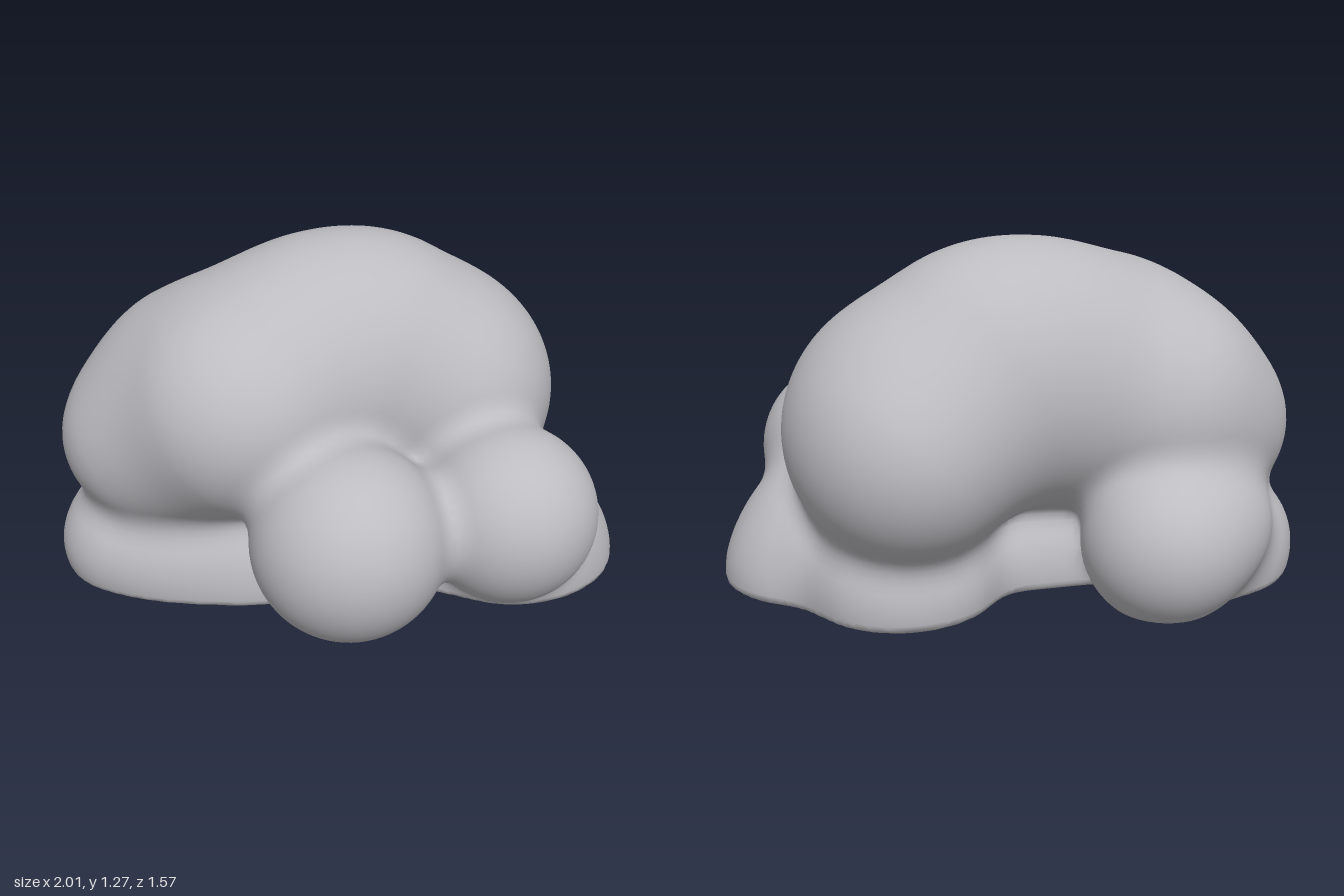
import * as THREE from 'three';

// Soft lumps for each part: centre x, y, z, then radii x, y, z
const PARTS = {
  upperBody: [
    [-0.35, 0.765, 0, 0.42, 0.4, 0.43],
    [-0.6, 0.59, -0.13, 0.37, 0.34, 0.34],
    [-0.46, 0.7, -0.22, 0.37, 0.38, 0.37],
    [-0.17, 0.79, -0.14, 0.4, 0.41, 0.395],
    [0.01, 0.82, -0.18, 0.42, 0.45, 0.4],
    [0.2, 0.8, -0.2, 0.4, 0.415, 0.4],
    [0.41, 0.63, -0.3, 0.375, 0.4, 0.415],
    [0.42, 0.67, -0.15, 0.355, 0.38, 0.38],
  ],
  base: [
    [-0.67, 0.15, -0.14, 0.335, 0.28, 0.29],
    [-0.63, 0.13, -0.28, 0.27, 0.27, 0.23],
    [-0.35, 0.12, -0.01, 0.4, 0.32, 0.25],
    [0.1, 0.1, -0.02, 0.6, 0.29, 0.27],
    [0.635, 0.08, 0.06, 0.37, 0.33, 0.32],
    [0.42, 0.12, -0.24, 0.32, 0.3, 0.295],
    [0.6, 0.25, 0.1, 0.27, 0.26, 0.27],
  ],
  frontLeftBall: [[0.525, 0.435, 0.35, 0.31, 0.31, 0.31]],
  frontRightBall: [[-0.04, 0.44, 0.45, 0.333, 0.333, 0.333]],
  backBall: [
    [-0.42, 0.29, -0.5, 0.28, 0.28, 0.285],
    [-0.57, 0.33, -0.42, 0.24, 0.22, 0.235],
  ],
};
const NAMES = Object.keys(PARTS);
const PART_BLEND = 0.14, JOIN_BLEND = 0.1;

// Approximate distance to an ellipsoid
function lump([cx, cy, cz, rx, ry, rz], x, y, z) {
  const a = (x - cx) / rx, b = (y - cy) / ry, c = (z - cz) / rz;
  const k = Math.hypot(a, b, c);
  return k < 1e-4 ? -Math.min(rx, ry, rz) : (k * (k - 1)) / Math.hypot(a / rx, b / ry, c / rz);
}

function smoothMin(a, b, k) {
  const h = Math.max(k - Math.abs(a - b), 0) / k;
  return Math.min(a, b) - h * h * k * 0.25;
}

function partField(name, x, y, z) {
  return PARTS[name].reduce((d, l) => smoothMin(d, lump(l, x, y, z), PART_BLEND), 10);
}

// All parts melted together, then cut by an underside that curves up to its rim
function field(x, y, z) {
  const d = NAMES.reduce((sum, name) => smoothMin(sum, partField(name, x, y, z), JOIN_BLEND), 10);
  const depth = THREE.MathUtils.clamp(-d / 0.22, 0, 1);
  const floor = 0.002 + 0.056 * (1 - depth) ** 2;
  return -smoothMin(-d, y - floor, 0.02);
}

function gradient(x, y, z) {
  const e = 0.002;
  return new THREE.Vector3(
    field(x + e, y, z) - field(x - e, y, z),
    field(x, y + e, z) - field(x, y - e, z),
    field(x, y, z + e) - field(x, y, z - e),
  ).divideScalar(2 * e);
}

function nearestPart(p) {
  const d = NAMES.map((name) => partField(name, p.x, p.y, p.z));
  return d.indexOf(Math.min(...d));
}

// Skin the field with one vertex per crossed cell and one quad per crossed edge
function skin() {
  const h = 0.026, min = [-1.09, -0.06, -0.88], size = [84, 56, 68];
  const stride = [1, size[0], size[0] * size[1]];
  const values = new Float32Array(stride[2] * size[2]);
  for (let k = 0, n = 0; k < size[2]; k++)
    for (let j = 0; j < size[1]; j++)
      for (let i = 0; i < size[0]; i++) values[n++] = field(min[0] + i * h, min[1] + j * h, min[2] + k * h);

  const corners = [...Array(8).keys()].map((c) => [c & 1, (c >> 1) & 1, c >> 2]);
  const vertices = new Map();
  const buckets = NAMES.map(() => ({ position: [], normal: [] }));

  function vertex(n) {
    if (vertices.has(n)) return vertices.get(n);
    const cell = [n % size[0], Math.floor(n / stride[1]) % size[1], Math.floor(n / stride[2])];
    const p = new THREE.Vector3();
    let count = 0;
    for (const c of corners)
      for (let a = 0; a < 3; a++) {
        if (c[a]) continue;
        const m = n + c[0] + c[1] * stride[1] + c[2] * stride[2];
        const v0 = values[m], v1 = values[m + stride[a]];
        if (v0 < 0 === v1 < 0) continue;
        const q = [0, 1, 2].map((b) => min[b] + (cell[b] + c[b]) * h);
        q[a] += (h * v0) / (v0 - v1);
        p.add(new THREE.Vector3(...q));
        count++;
      }
    p.divideScalar(count);
    // Settle the vertex on the surface
    for (let s = 0; s < 2; s++) {
      const g = gradient(p.x, p.y, p.z);
      const step = -field(p.x, p.y, p.z) / Math.max(g.lengthSq(), 0.2);
      p.addScaledVector(g, THREE.MathUtils.clamp(step, -h / 2, h / 2));
    }
    const v = { p, normal: gradient(p.x, p.y, p.z).normalize() };
    vertices.set(n, v);
    return v;
  }

  for (let k = 1; k < size[2] - 1; k++)
    for (let j = 1; j < size[1] - 1; j++)
      for (let i = 1; i < size[0] - 1; i++) {
        const n = i + j * stride[1] + k * stride[2];
        for (let a = 0; a < 3; a++) {
          const inside = values[n] < 0;
          if (inside === values[n + stride[a]] < 0) continue;
          const b = stride[(a + 1) % 3], c = stride[(a + 2) % 3];
          const quad = [n, n - b, n - b - c, n - c].map(vertex);
          if (!inside) quad.reverse();
          const bucket = buckets[nearestPart(quad[0].p)];
          for (const t of [0, 1, 2, 0, 2, 3]) {
            bucket.position.push(...quad[t].p.toArray());
            bucket.normal.push(...quad[t].normal.toArray());
          }
        }
      }
  return buckets;
}

export function createModel() {
  const model = new THREE.Group();
  model.name = 'blobSculpture';
  const clay = new THREE.MeshStandardMaterial({ color: 0xbdbcc1 });
  clay.name = 'grey clay';
  skin().forEach(({ position, normal }, i) => {
    const geometry = new THREE.BufferGeometry();
    geometry.setAttribute('position', new THREE.Float32BufferAttribute(position, 3));
    geometry.setAttribute('normal', new THREE.Float32BufferAttribute(normal, 3));
    const mesh = new THREE.Mesh(geometry, clay);
    mesh.name = NAMES[i];
    model.add(mesh);
  });
  return model;
}
